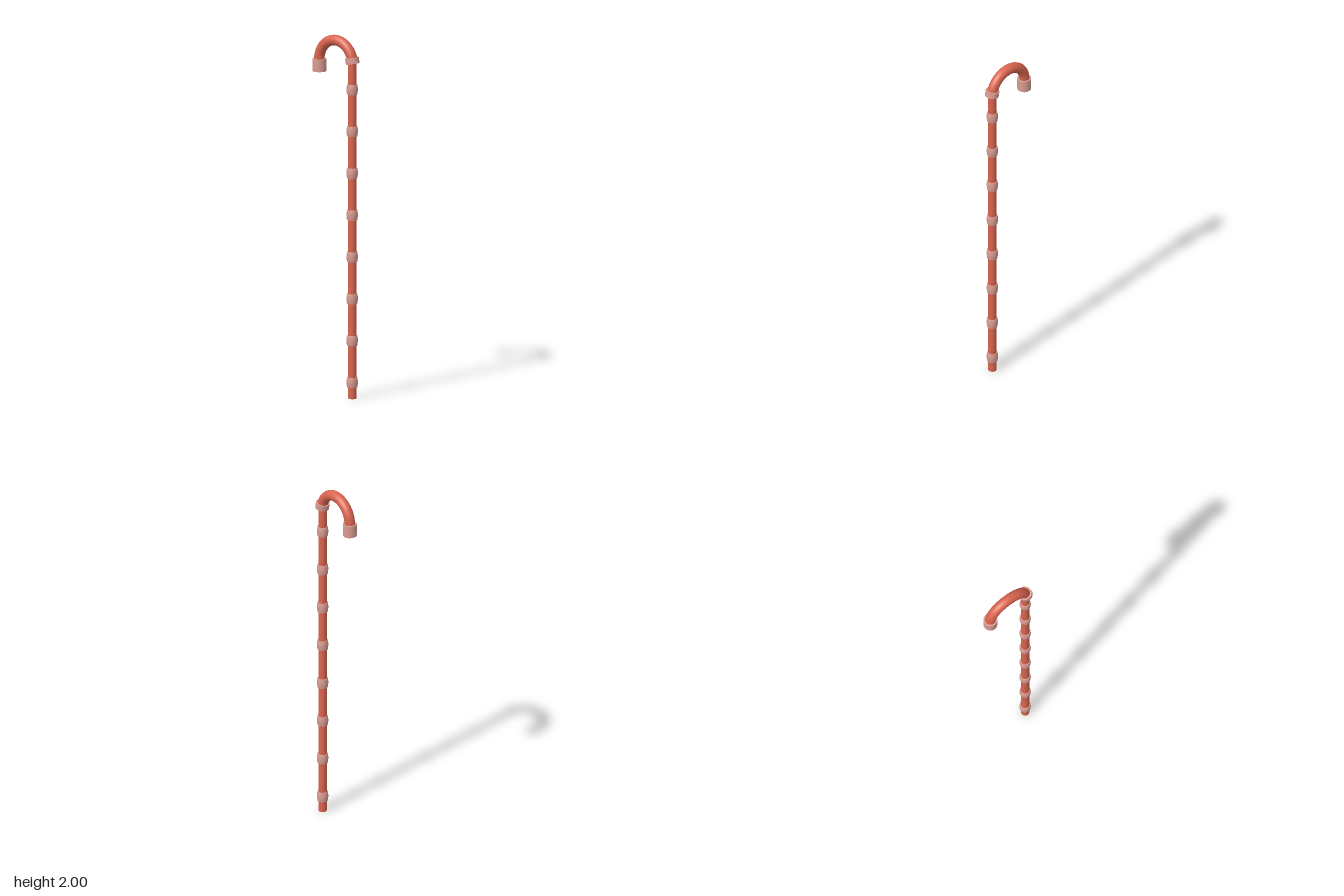
import * as THREE from 'three';

export function createModel() {
  const model = new THREE.Group();
  const red = new THREE.MeshStandardMaterial({ color: 0xd9654f });
  red.name = 'coral red';
  const pink = new THREE.MeshStandardMaterial({ color: 0xd99c92 });
  pink.name = 'dusty pink';

  const add = (name, geometry, material, x, y, tilt = 0) => {
    const mesh = new THREE.Mesh(geometry, material);
    mesh.name = name;
    mesh.position.set(x, y, 0);
    mesh.rotation.z = tilt;
    model.add(mesh);
    return mesh;
  };

  const poleX = 0.117, hookR = 0.12, hookY = 1.851, tubeR = 0.029;

  // Straight pole
  add('pole', new THREE.CylinderGeometry(0.023, 0.023, 1.87, 32), red, poleX, 0.935);

  // Barrel-shaped knots, evenly spaced along the pole
  const barrel = [];
  for (let i = 0; i <= 8; i++) {
    const t = i / 4 - 1;
    barrel.push(new THREE.Vector2(0.031 - 0.003 * t * t, t * 0.028));
  }
  // Flat ends get their own points so the rims stay sharp
  const knotSide = new THREE.LatheGeometry(barrel, 32);
  const knotEnd = new THREE.RingGeometry(0.02, 0.028, 32);
  for (let i = 0; i < 8; i++) {
    const y = 0.09 + i * 0.232;
    add('knot', knotSide, pink, poleX, y);
    for (const s of [-1, 1]) {
      const end = add('knotEnd', knotEnd, pink, poleX, y + s * 0.028);
      end.rotation.x = -s * Math.PI / 2;
    }
  }

  // Curved handle: an arc that starts in the tilted collar
  const start = 0.1;
  const arc = new THREE.TorusGeometry(hookR, tubeR, 24, 64, Math.PI - start);
  arc.rotateZ(start);
  add('handle', arc, red, 0, hookY);
  add('handleEnd', new THREE.CylinderGeometry(tubeR, tubeR, 0.055, 32), red, -hookR, hookY - 0.0275);

  // Tilted collar joining pole and handle
  const tilt = 0.18;
  add('joiningCollar', new THREE.CylinderGeometry(0.038, 0.038, 0.033, 40), pink,
    hookR * Math.cos(tilt), hookY + hookR * Math.sin(tilt), tilt);

  // Tip collar with a shallow bore underneath
  const outer = 0.038, bore = 0.02, bottom = 1.785, top = 1.855;
  add('tipCollar', new THREE.CylinderGeometry(outer, outer, top - bottom, 40, 1, true), pink,
    -hookR, (top + bottom) / 2);
  add('tipCollarTop', new THREE.RingGeometry(bore, outer, 40), pink, -hookR, top).rotation.x = -Math.PI / 2;
  add('tipCollarRim', new THREE.RingGeometry(bore, outer, 40), pink, -hookR, bottom).rotation.x = Math.PI / 2;
  // Bore wall runs downwards so its faces point inwards
  add('tipBore', new THREE.LatheGeometry(
    [new THREE.Vector2(bore, 0.012), new THREE.Vector2(bore, 0)], 40), pink, -hookR, bottom);
  add('tipBoreEnd', new THREE.CircleGeometry(bore, 40), pink, -hookR, bottom + 0.012).rotation.x = Math.PI / 2;

  return model;
}
